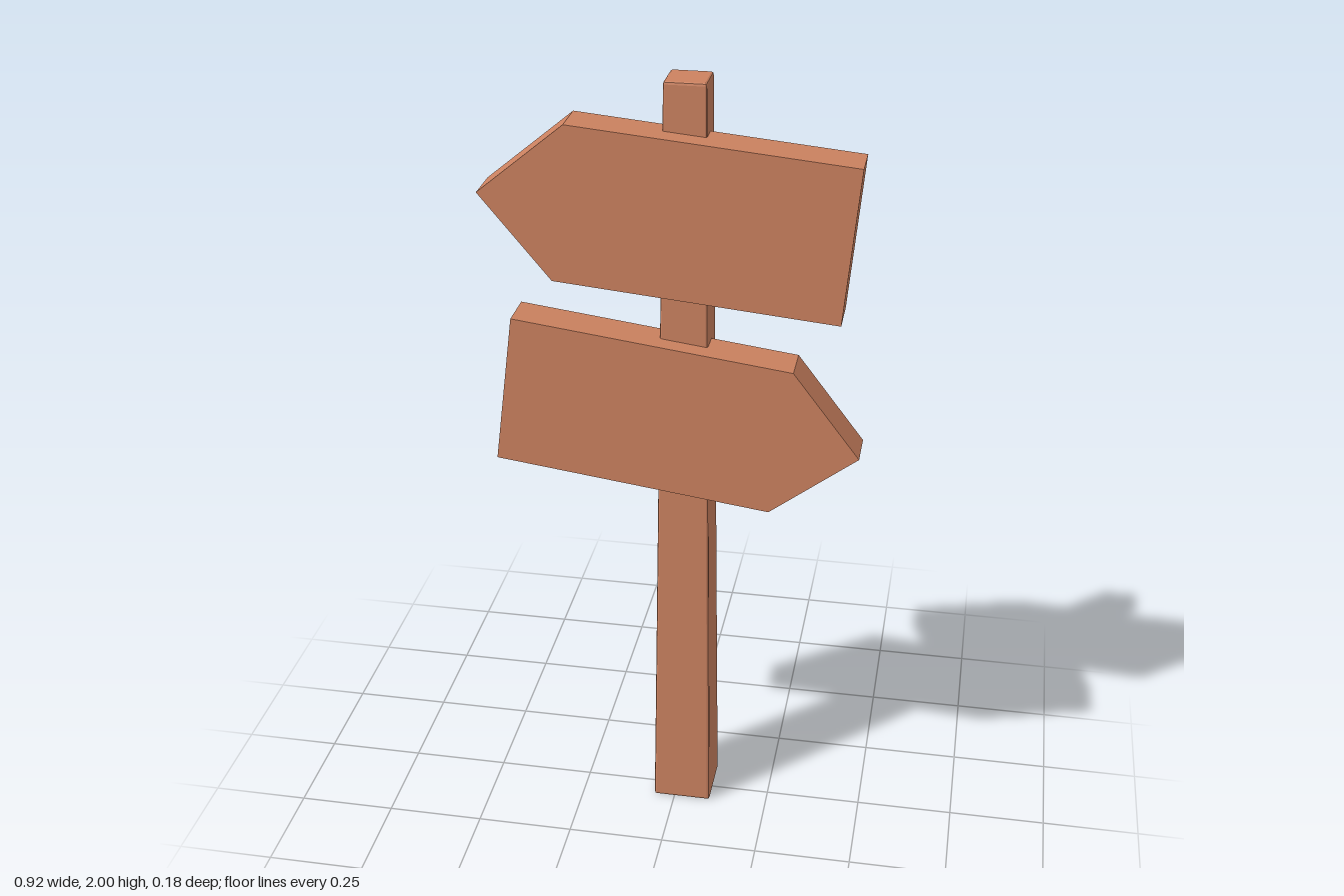
import * as THREE from 'three';
import { RoundedBoxGeometry } from 'three/addons/geometries/RoundedBoxGeometry.js';

const wood = new THREE.MeshStandardMaterial({ color: 0xcc8260 });
wood.name = 'wood';

// Square post with slim bevels, narrowing towards the top
function makePost() {
  const bottom = 0.0765, top = 0.0505, height = 2;
  const rounded = new RoundedBoxGeometry(2 * bottom, height, 2 * bottom, 1, 0.007);
  const geometry = rounded.index ? rounded.toNonIndexed() : rounded;
  const p = geometry.attributes.position;
  for (let i = 0; i < p.count; i++) {
    const t = p.getY(i) / height + 0.5;
    const s = THREE.MathUtils.lerp(1, top / bottom, t);
    p.setXYZ(i, p.getX(i) * s, p.getY(i) + height / 2, p.getZ(i) * s);
  }
  geometry.computeVertexNormals();
  const post = new THREE.Mesh(geometry, wood);
  post.name = 'post';
  post.position.set(0.021, 0, -0.015);
  return post;
}

// Arrow-shaped board cut from a thick plank
function makeBoard(name, outline) {
  const shape = new THREE.Shape(outline.map(([x, y]) => new THREE.Vector2(x, y)));
  const geometry = new THREE.ExtrudeGeometry(shape, { depth: 0.106, bevelEnabled: false });
  const board = new THREE.Mesh(geometry, wood);
  board.name = name;
  board.position.z = -0.013;
  return board;
}

export function createModel() {
  const group = new THREE.Group();
  group.name = 'signpost';
  group.add(
    makePost(),
    makeBoard('upperBoard', [[-0.25, 1.905], [-0.463, 1.73], [-0.288, 1.52], [0.402, 1.456], [0.437, 1.841]]),
    makeBoard('lowerBoard', [[-0.394, 1.414], [-0.444, 1.032], [0.243, 0.942], [0.46, 1.109], [0.294, 1.326]]),
  );
  return group;
}
